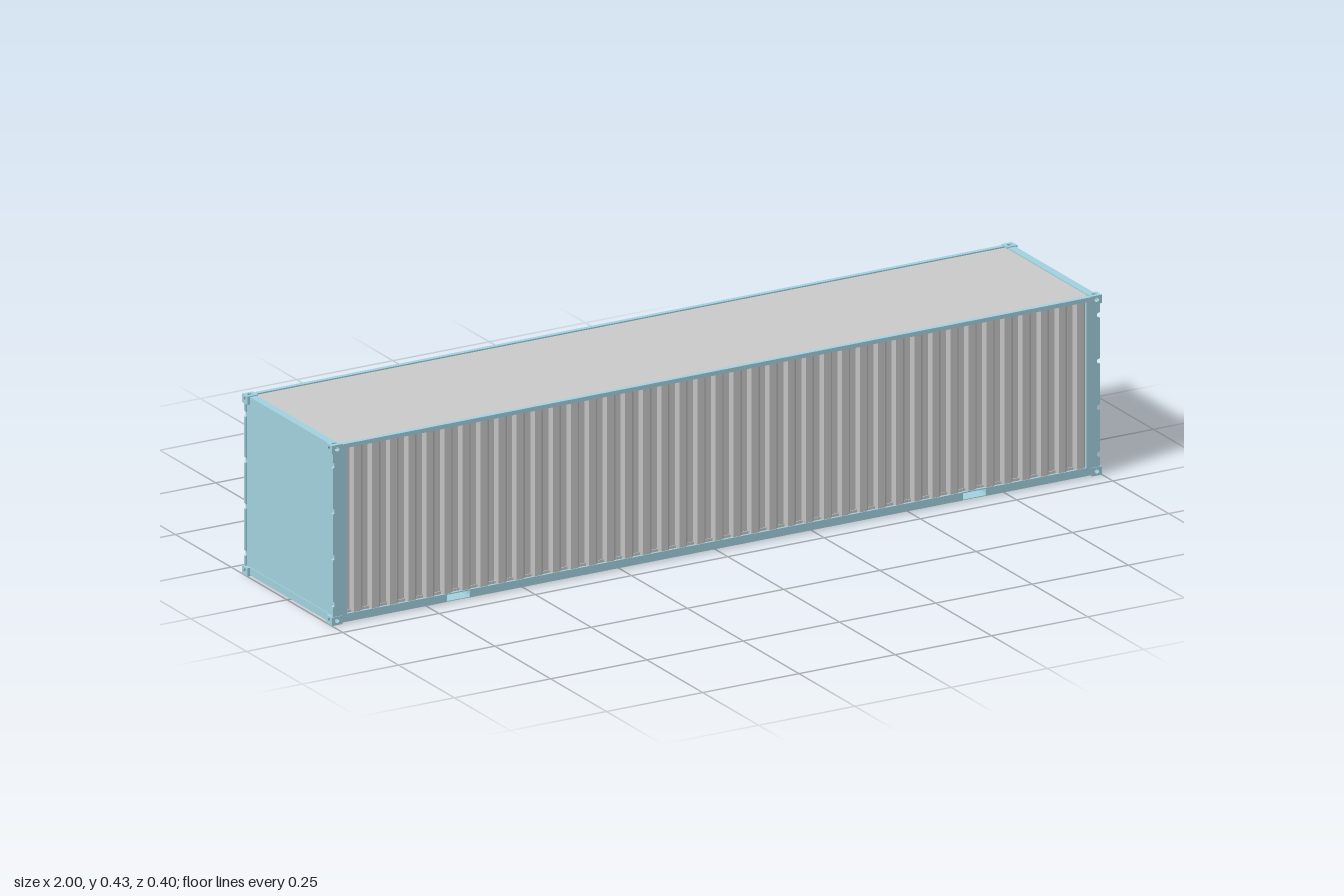
import * as THREE from 'three';

const blue = new THREE.MeshStandardMaterial({ color: 0xa3d3e0, side: THREE.DoubleSide });
const grey = new THREE.MeshStandardMaterial({ color: 0xcccccc, side: THREE.DoubleSide });

// Box given by its limits on each axis
function box(parent, name, mat, x0, x1, y0, y1, z0, z1) {
  const geo = new THREE.BoxGeometry(Math.abs(x1 - x0), Math.abs(y1 - y0), Math.abs(z1 - z0));
  const mesh = new THREE.Mesh(geo, mat);
  mesh.position.set((x0 + x1) / 2, (y0 + y1) / 2, (z0 + z1) / 2);
  mesh.name = name;
  parent.add(mesh);
  return mesh;
}

function extrude(points, depth) {
  const shape = new THREE.Shape(points.map(([x, y]) => new THREE.Vector2(x, y)));
  return new THREE.ExtrudeGeometry(shape, { depth, bevelEnabled: false });
}

// Plate with an oval hole, centred on the origin, facing z
function holedPlate(w, h, t, holeW, holeH) {
  const s = new THREE.Shape();
  s.moveTo(-w / 2, -h / 2).lineTo(w / 2, -h / 2).lineTo(w / 2, h / 2).lineTo(-w / 2, h / 2).closePath();
  const hole = new THREE.Path();
  hole.absellipse(0, 0, holeW / 2, holeH / 2, 0, Math.PI * 2, true);
  s.holes.push(hole);
  const g = new THREE.ExtrudeGeometry(s, { depth: t, bevelEnabled: false, curveSegments: 6 });
  return g.translate(0, 0, -t / 2);
}

// Hollow corner casting: oval holes in the end, the side and the top or bottom
function cornerCasting(sx, sz, top) {
  const W = 0.027, H = 0.02, D = 0.025, t = 0.004;
  const g = new THREE.Group();
  g.name = 'cornerCasting';
  const plate = (name, geo, x, y, z, rx = 0, ry = 0) => {
    const m = new THREE.Mesh(geo, blue);
    m.name = name;
    m.rotation.set(rx, ry, 0);
    m.position.set(x, y, z);
    g.add(m);
  };
  plate('castingSide', holedPlate(W, H, t, 0.012, 0.01), 0, 0, sz * (D - t) / 2);
  plate('castingEnd', holedPlate(D, H, t, 0.009, 0.012), sx * (W - t) / 2, 0, 0, 0, Math.PI / 2);
  plate('castingCap', holedPlate(W, D, t, 0.014, 0.01), 0, (top ? 1 : -1) * (H - t) / 2, 0, Math.PI / 2);
  const iy = (top ? -1 : 1) * H / 2;
  box(g, 'castingInnerSide', blue, -W / 2, W / 2, -H / 2, H / 2, -sz * D / 2, -sz * (D / 2 - 0.002));
  box(g, 'castingInnerEnd', blue, -sx * W / 2, -sx * (W / 2 - 0.002), -H / 2, H / 2, -D / 2, D / 2);
  box(g, 'castingInnerCap', blue, -W / 2, W / 2, iy * 0.8, iy, -D / 2, D / 2);
  g.position.set(sx * (1 - W / 2), top ? 0.43 - H / 2 : H / 2, sz * (0.2015 - D / 2));
  return g;
}

// Corner post with hinge notches in its outer edge
function cornerPost(sx, sz) {
  const depth = sx > 0 ? 0.008 : 0.004;
  const pts = [[0.96, 0.02], [0.996, 0.02]];
  for (const y of [0.05, 0.162, 0.272, 0.382]) {
    pts.push([0.996, y - 0.007], [0.996 - depth, y - 0.004], [0.996 - depth, y + 0.004], [0.996, y + 0.007]);
  }
  pts.push([0.996, 0.41], [0.975, 0.41], [0.975, 0.42], [0.96, 0.42]);
  const geo = extrude(pts.map(([x, y]) => [sx * x, y]), 0.007);
  geo.translate(0, 0, sz > 0 ? 0.193 : -0.2);
  const m = new THREE.Mesh(geo, blue);
  m.name = 'cornerPost';
  return m;
}

// Trapezoid sheet swept upwards
function corrugatedWall(sz) {
  const n = 41, x0 = -0.962, p = 1.924 / n, t = 0.0012;
  const line = [];
  for (let i = 0; i < n; i++) {
    const x = x0 + i * p;
    line.push([x, 0.191], [x + p * 0.3, 0.191], [x + p * 0.46, 0.198], [x + p * 0.84, 0.198]);
  }
  line.push([-x0, 0.191]);
  const outline = [...line, ...line.map(([x, z]) => [x, z - t]).reverse()];
  const geo = extrude(outline.map(([x, z]) => [x, -sz * z]), 0.402);
  geo.rotateX(-Math.PI / 2).translate(0, 0.02, 0);
  const m = new THREE.Mesh(geo, grey);
  m.name = 'corrugatedWall';
  return m;
}

export function createModel() {
  const model = new THREE.Group();
  model.name = 'shippingContainer';

  for (const sz of [1, -1]) {
    model.add(corrugatedWall(sz));
    // Top side rail
    box(model, 'topRail', blue, -0.974, 0.974, 0.418, 0.428, sz * 0.189, sz * 0.2);
    // Bottom side rail, interrupted by the fork pockets
    for (const [a, b] of [[-0.974, -0.7], [-0.64, 0.64], [0.7, 0.974]]) {
      box(model, 'bottomRail', blue, a, b, 0.003, 0.022, sz * 0.194, sz * 0.2);
      box(model, 'bottomRailFlange', blue, a, b, 0.003, 0.006, sz * 0.18, sz * 0.196);
    }
    for (const sx of [1, -1]) {
      model.add(cornerPost(sx, sz), cornerCasting(sx, sz, true), cornerCasting(sx, sz, false));
      box(model, 'pocketBridge', blue, sx * 0.64, sx * 0.7, 0.02, 0.0225, sz * 0.192, sz * 0.2);
      box(model, 'pocketPlate', blue, sx * 0.64, sx * 0.7, 0.003, 0.0045, sz * 0.128, sz * 0.199);
    }
  }

  // Roof and floor sheets
  box(model, 'roof', grey, -0.976, 0.976, 0.421, 0.425, -0.191, 0.191);
  box(model, 'floor', grey, -0.985, 0.985, 0.021, 0.028, -0.193, 0.193);

  // End frames and the cross members under each end
  for (const sx of [1, -1]) {
    box(model, 'endHeader', blue, sx * 0.975, sx * 0.994, 0.409, 0.428, -0.178, 0.178);
    box(model, 'endSill', blue, sx * 0.975, sx * 0.994, 0.003, 0.021, -0.178, 0.178);
    for (const x of [0.545, 0.59, 0.634, 0.706, 0.755, 0.805, 0.855, 0.905, 0.95]) {
      box(model, 'crossMember', blue, sx * (x - 0.0015), sx * (x + 0.0015), 0.004, 0.021, -0.194, 0.194);
      box(model, 'crossMemberFlange', blue, sx * (x - 0.006), sx * (x + 0.006), 0.004, 0.006, -0.194, 0.194);
    }
  }

  // Closed end
  box(model, 'endWall', blue, -0.992, -0.986, 0.02, 0.41, -0.194, 0.194);

  return model;
}
